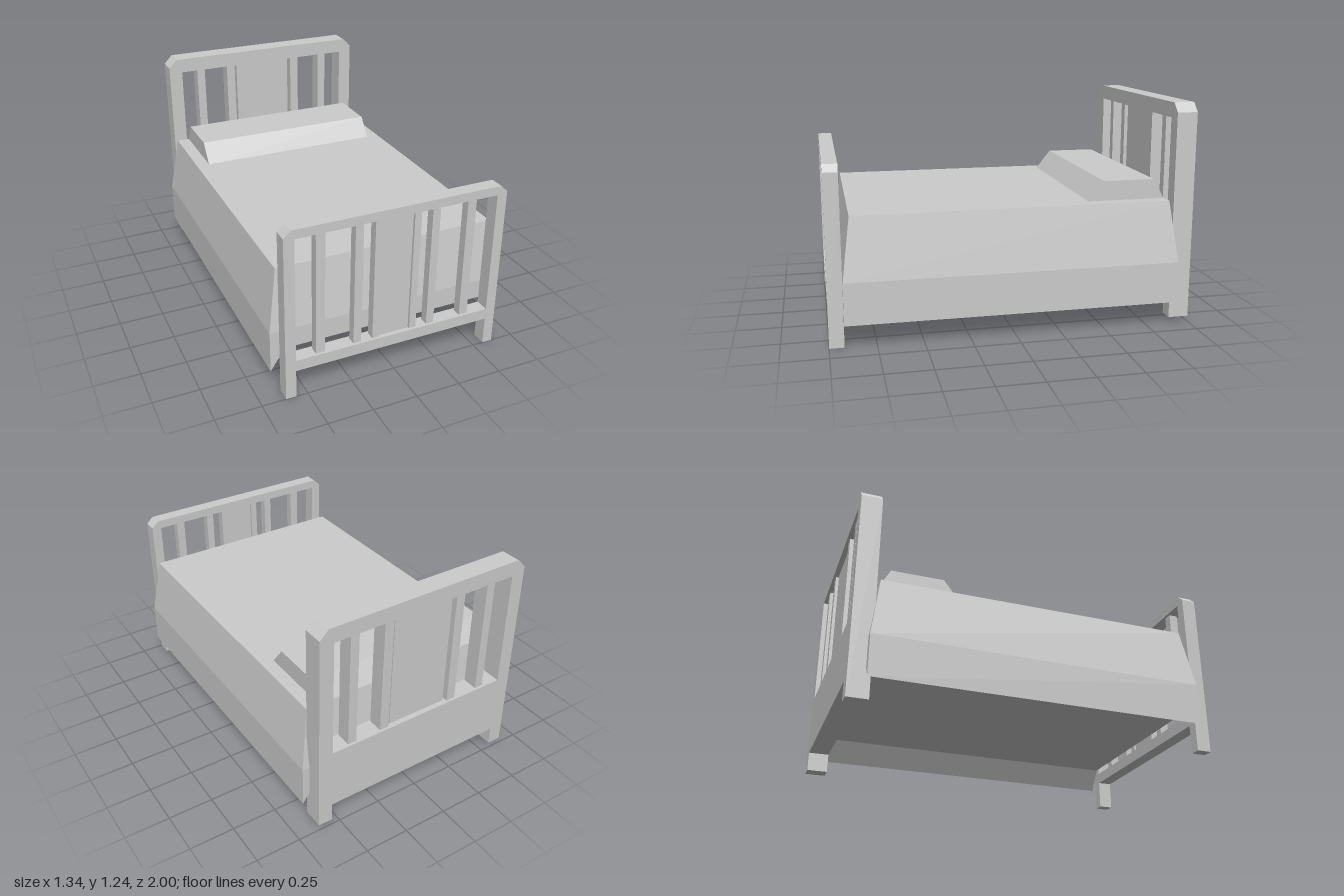
import * as THREE from 'three';

const material = new THREE.MeshStandardMaterial({ color: 0xcccccc, flatShading: true });

function addMesh(parent, name, geometry) {
  const mesh = new THREE.Mesh(geometry, material);
  mesh.name = name;
  parent.add(mesh);
  return mesh;
}

// Box given by its limits on each axis
function addBox(parent, name, [x0, x1], [y0, y1], [z0, z1]) {
  const mesh = addMesh(parent, name, new THREE.BoxGeometry(x1 - x0, y1 - y0, z1 - z0));
  mesh.position.set((x0 + x1) / 2, (y0 + y1) / 2, (z0 + z1) / 2);
}

function toShape(points) {
  return new THREE.Shape(points.map(([x, y]) => new THREE.Vector2(x, y)));
}

function extrude(shape, z0, z1) {
  return new THREE.ExtrudeGeometry(shape, { depth: z1 - z0, bevelEnabled: false }).translate(0, 0, z0);
}

// Bed end: chamfered frame with legs, upright slats and a centre panel
function bedEnd(name, o) {
  const end = new THREE.Group();
  end.name = name;
  const half = [
    [o.outer, o.foot], [o.outer, o.top - o.chamferY], [o.outer - o.chamferX, o.top],
  ];
  const mirrored = half.map(([x, y]) => [-x, y]).reverse();
  const frame = toShape([
    ...half, ...mirrored,
    [-o.inner, o.foot], [-o.inner, o.railBottom], [o.inner, o.railBottom], [o.inner, o.foot],
  ]);
  frame.holes.push(toShape([
    [-o.inner, o.open[0]], [-o.inner, o.open[1]], [o.inner, o.open[1]], [o.inner, o.open[0]],
  ]));
  addMesh(end, name + 'Frame', extrude(frame, ...o.z));
  for (const [a, b] of o.slats) {
    addBox(end, 'slat', [a, b], o.open, o.slatZ);
    addBox(end, 'slat', [-b, -a], o.open, o.slatZ);
  }
  addBox(end, 'centrePanel', [-o.panel, o.panel], o.open, o.panelZ);
  return end;
}

export function createModel() {
  const bed = new THREE.Group();
  bed.name = 'bed';

  bed.add(bedEnd('headboard', {
    outer: 0.63, inner: 0.55, foot: 0.033, top: 1.24, chamferX: 0.05, chamferY: 0.05,
    railBottom: 0.14, open: [0.49, 1.155], z: [-1, -0.885],
    slats: [[0.397, 0.447], [0.195, 0.248]], slatZ: [-0.985, -0.9],
    panel: 0.178, panelZ: [-0.97, -0.915],
  }));

  bed.add(bedEnd('footboard', {
    outer: 0.62, inner: 0.563, foot: 0, top: 0.97, chamferX: 0.04, chamferY: 0.037,
    railBottom: 0.16, open: [0.223, 0.92], z: [0.92, 1],
    slats: [[0.398, 0.448], [0.193, 0.237], [0.09, 0.128]], slatZ: [0.935, 0.985],
    panel: 0.087, panelZ: [0.945, 0.975],
  }));

  // Upper bedding: a box whose top is drawn in on all four sides
  const bedding = new THREE.Group();
  bedding.name = 'bedding';
  const upper = new THREE.BoxGeometry(1.34, 0.34, 1.83).translate(0, 0.535, 0.005);
  const p = upper.attributes.position;
  for (let i = 0; i < p.count; i++) {
    if (p.getY(i) < 0.6) continue;
    p.setX(i, Math.sign(p.getX(i)) * 0.617);
    p.setZ(i, p.getZ(i) > 0 ? 0.875 : -0.865);
  }
  upper.computeVertexNormals();
  addMesh(bedding, 'mattressTop', upper);

  // Lower bedding: side hems hang below the flat underside
  const skirt = toShape([
    [0.67, 0.365], [-0.67, 0.365], [-0.67, 0.135], [-0.59, 0.255], [0.59, 0.255], [0.67, 0.135],
  ]);
  addMesh(bedding, 'blanketSkirt', extrude(skirt, -0.91, 0.92));
  bed.add(bedding);

  // Pillow: trapezoid drawn across the bed (profile x runs toward -z)
  const pillow = toShape([[0.42, 0.7], [0.865, 0.7], [0.8, 0.815], [0.51, 0.815]]);
  addMesh(bed, 'pillow', extrude(pillow, -0.543, 0.543).rotateY(Math.PI / 2));

  return bed;
}
